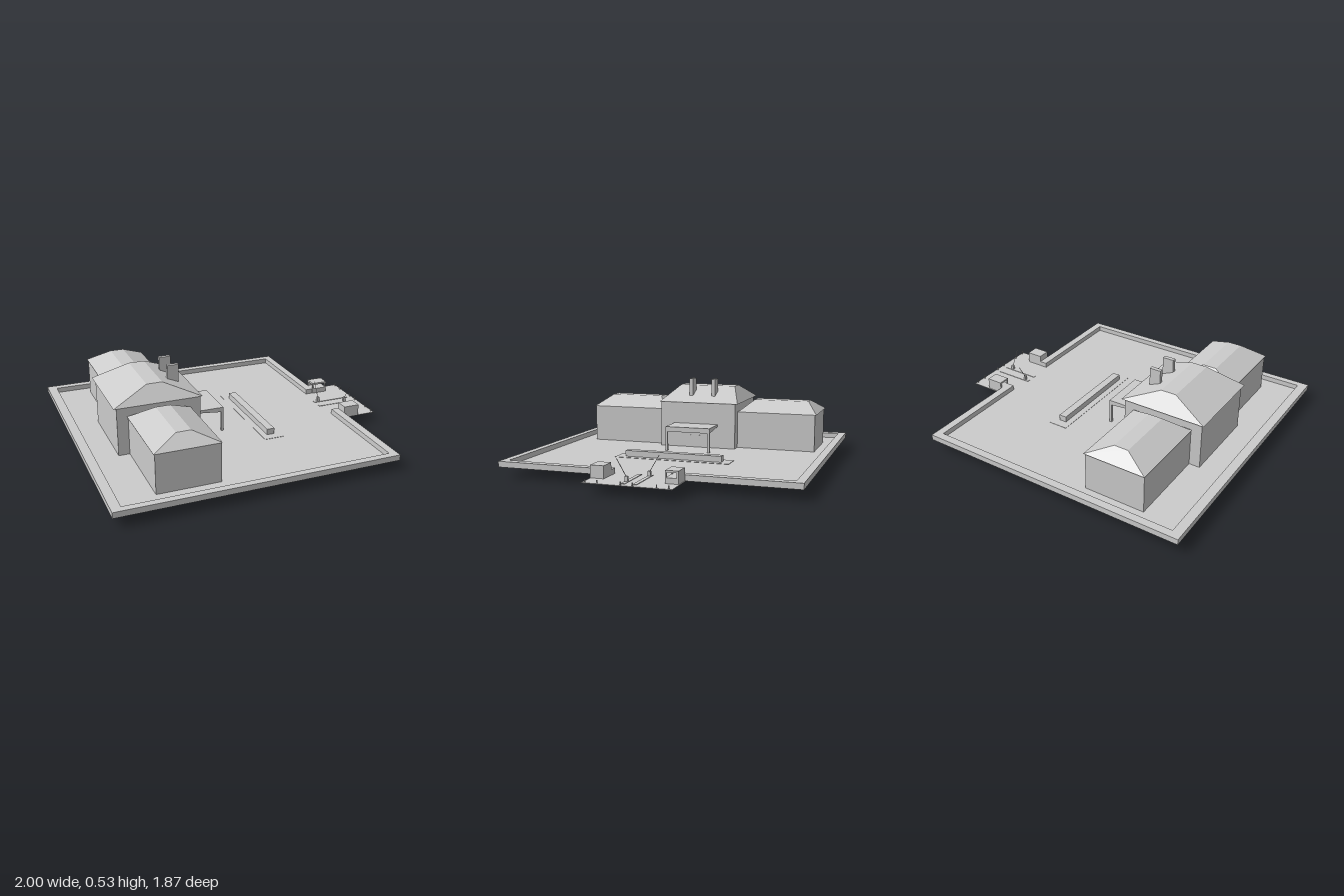
import * as THREE from 'three';

const mat = new THREE.MeshStandardMaterial({ color: 0xcccccc, flatShading: true, side: THREE.DoubleSide });
const GROUND = 0.067;

export function createModel() {
  const model = new THREE.Group();

  const add = (name, geometry) => {
    const mesh = new THREE.Mesh(geometry, mat);
    mesh.name = name;
    model.add(mesh);
    return mesh;
  };

  // Box given by its limits on each axis
  const box = (name, x0, x1, y0, y1, z0, z1) => {
    const g = new THREE.BoxGeometry(x1 - x0, y1 - y0, z1 - z0);
    g.translate((x0 + x1) / 2, (y0 + y1) / 2, (z0 + z1) / 2);
    return add(name, g);
  };

  // Hipped roof: a box whose top corners are pulled in to a narrow flat ridge
  const hipRoof = (name, x0, x1, y0, y1, z0, z1, ridgeHalf, hip) => {
    const mesh = box(name, x0, x1, y0, y1, z0, z1);
    const p = mesh.geometry.attributes.position;
    const cx = (x0 + x1) / 2, cz = (z0 + z1) / 2;
    for (let i = 0; i < p.count; i++) {
      if (p.getY(i) < (y0 + y1) / 2) continue;
      p.setX(i, cx + Math.sign(p.getX(i) - cx) * ridgeHalf);
      p.setZ(i, p.getZ(i) - Math.sign(p.getZ(i) - cz) * hip);
    }
    mesh.geometry.computeVertexNormals();
  };

  // Thin straight bar between two points
  const bar = (name, a, b, radius) => {
    const path = new THREE.LineCurve3(new THREE.Vector3(...a), new THREE.Vector3(...b));
    add(name, new THREE.TubeGeometry(path, 1, radius, 6));
  };

  // Yard and the low wall around it, open at the gate
  box('yardGround', -0.97, 0.74, 0.065, GROUND, -0.91, 0.91);
  box('backWall', -1, 0.765, 0.064, 0.1, -0.935, -0.885);
  box('frontWall', -1, 0.765, 0.064, 0.1, 0.885, 0.93);
  box('sideWall', -1, -0.94, 0.064, 0.1, -0.885, 0.885);
  box('gateWallBack', 0.715, 0.765, 0.064, 0.1, -0.885, -0.19);
  box('gateWallFront', 0.715, 0.765, 0.064, 0.1, 0.18, 0.885);

  // Main block with its two lower wings
  box('mainBlock', -0.785, -0.255, 0.065, 0.376, -0.28, 0.25);
  hipRoof('mainRoof', -0.803, -0.242, 0.376, 0.475, -0.3, 0.256, 0.05, 0.08);
  box('frontWing', -0.715, -0.325, 0.065, 0.315, 0.25, 0.78);
  hipRoof('frontWingRoof', -0.722, -0.32, 0.315, 0.386, 0.25, 0.785, 0.045, 0.08);
  box('backWing', -0.715, -0.325, 0.065, 0.315, -0.81, -0.28);
  hipRoof('backWingRoof', -0.722, -0.32, 0.315, 0.386, -0.82, -0.285, 0.045, 0.08);
  for (const z of [-0.104, 0.056]) box('chimney', -0.405, -0.332, 0.37, 0.532, z - 0.013, z + 0.013);
  box('door', -0.256, -0.253, GROUND, 0.15, -0.055, 0.035);

  // Basement with a sloped ramp, below the back wing
  const pit = new THREE.Shape([[0.32, 0.066], [0.48, 0], [0.81, 0], [0.81, 0.066]].map(p => new THREE.Vector2(...p)));
  const pitGeo = new THREE.ExtrudeGeometry(pit, { depth: 0.38, bevelEnabled: false });
  pitGeo.rotateY(Math.PI / 2).translate(-0.71, 0, 0);
  add('basement', pitGeo);

  // Entrance canopy, thicker at its outer edge, on two posts
  const slab = new THREE.Shape([[-0.255, 0.216], [-0.063, 0.197], [-0.063, 0.23], [-0.255, 0.23]].map(p => new THREE.Vector2(...p)));
  const slabGeo = new THREE.ExtrudeGeometry(slab, { depth: 0.31, bevelEnabled: false });
  slabGeo.translate(0, 0, -0.158);
  add('canopy', slabGeo);
  for (const z of [-0.15, 0.144]) box('canopyPost', -0.077, -0.063, GROUND, 0.205, z - 0.008, z + 0.008);

  // Long planter on a thin plinth
  box('planterPlinth', 0.13, 0.26, 0.066, 0.069, -0.38, 0.38);
  box('planter', 0.17, 0.22, GROUND, 0.107, -0.322, 0.322);

  // Gate road with lane islands
  box('road', 0.74, 0.997, 0.064, 0.067, -0.272, 0.265);
  for (const z of [-0.04, 0.03]) box('laneIsland', 0.7, 0.96, 0.066, 0.07, z - 0.012, z + 0.012);

  // Front guard house is a solid block, back one has an open window band
  box('guardHouse', 0.765, 0.872, GROUND, 0.142, 0.182, 0.266);
  box('guardBoothBase', 0.765, 0.872, GROUND, 0.1, -0.266, -0.187);
  box('guardBoothRoof', 0.765, 0.872, 0.13, 0.142, -0.266, -0.187);
  box('guardBoothBack', 0.765, 0.872, 0.1, 0.13, -0.266, -0.258);
  for (const x of [0.765, 0.864])
    for (const z of [-0.26, -0.195]) box('guardBoothPost', x, x + 0.008, 0.1, 0.13, z, z + 0.008);

  // Raised barriers
  for (const [x, z, s] of [[0.73, -0.04, -1], [0.9, 0.03, 1]]) {
    box('barrierBase', x - 0.008, x + 0.008, GROUND, 0.1, z - 0.008, z + 0.008);
    bar('barrierArm', [x, 0.093, z], [x, 0.196, z + s * 0.06], 0.002);
  }

  // Bollards at the road edge
  for (const z of [-0.25, -0.18, -0.04, 0.03, 0.17, 0.245]) {
    const g = new THREE.CylinderGeometry(0.004, 0.004, 0.02, 8);
    g.translate(0.987, 0.076, z);
    add('bollard', g);
  }

  return model;
}
